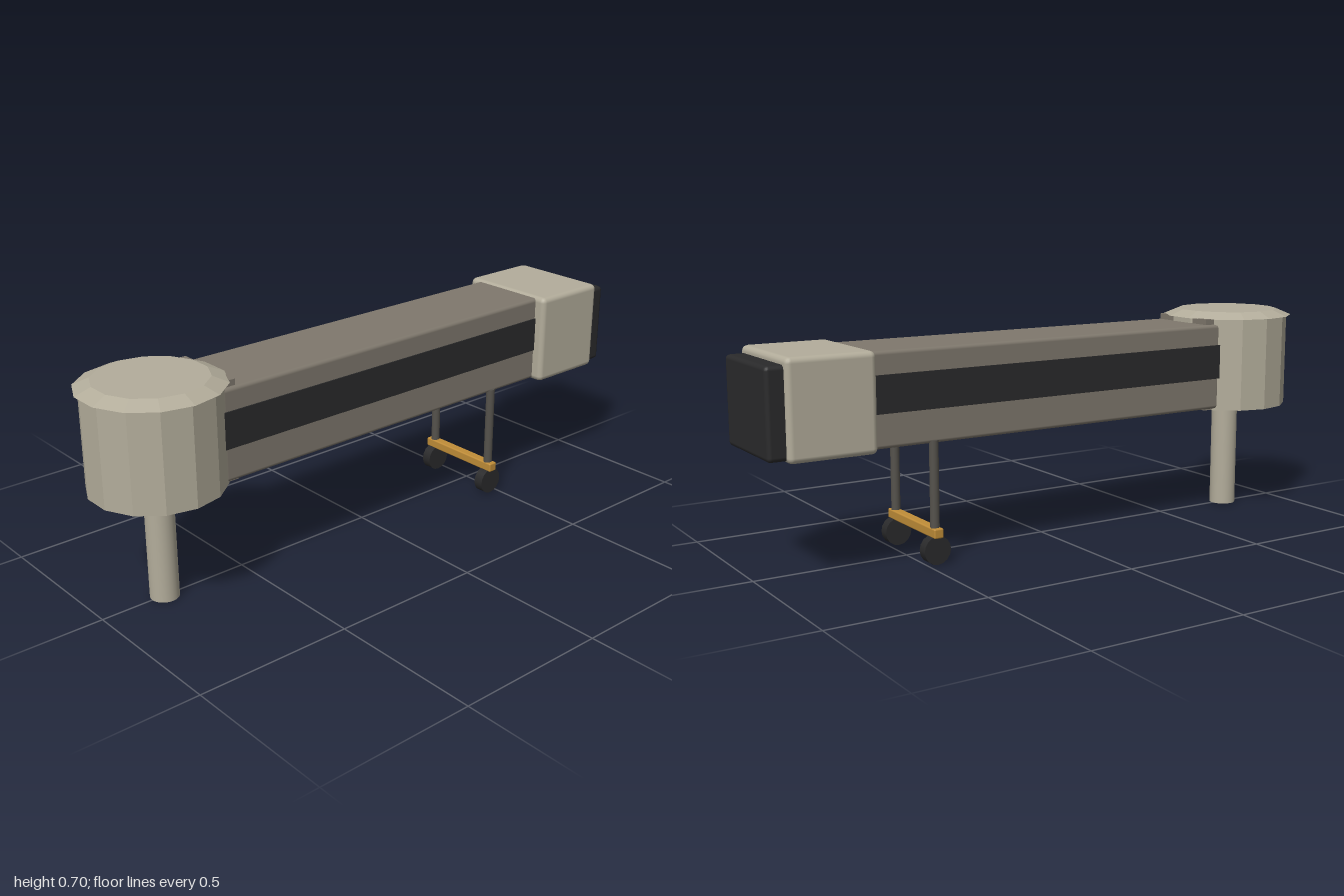
import * as THREE from 'three';
import { RoundedBoxGeometry } from 'three/addons/geometries/RoundedBoxGeometry.js';

const paint = (name, color) => {
  const m = new THREE.MeshStandardMaterial({ color });
  m.name = name;
  return m;
};

export function createModel() {
  const shell = paint('warm light grey', 0xb3ad9b);
  const tunnelGrey = paint('tunnel grey', 0x7f786d);
  const steel = paint('dark steel', 0x55524c);
  const black = paint('black', 0x2a2a2b);
  const amber = paint('amber', 0xc08d38);

  const model = new THREE.Group();
  model.name = 'boardingBridge';

  const add = (name, geometry, material, x, y, z = 0) => {
    const mesh = new THREE.Mesh(geometry, material);
    mesh.name = name;
    mesh.position.set(x, y, z);
    model.add(mesh);
    return mesh;
  };
  // Rounded box given by its extents in x and y and its half width in z
  const block = (name, material, x0, x1, y0, y1, halfZ, radius) =>
    add(name, new RoundedBoxGeometry(x1 - x0, y1 - y0, halfZ * 2, 2, radius),
      material, (x0 + x1) / 2, (y0 + y1) / 2);
  // Faceted drum with one flat normal per side
  const drum = (r0, r1, h) => {
    const g = new THREE.CylinderGeometry(r0, r1, h, 14).toNonIndexed();
    g.computeVertexNormals();
    return g;
  };

  // Rotunda on its column
  const px = -0.785;
  add('column', new THREE.CylinderGeometry(0.045, 0.045, 0.38, 24), shell, px, 0.19);
  add('rotunda', drum(0.208, 0.208, 0.315), shell, px, 0.5265);
  add('rotundaRoof', drum(0.172, 0.222, 0.021), shell, px, 0.6935);
  add('collar', new THREE.BoxGeometry(0.1, 0.313, 0.25), tunnelGrey, -0.635, 0.5275);

  // Tunnel with a window band along both sides
  block('tunnel', tunnelGrey, -0.64, 0.69, 0.375, 0.665, 0.137, 0.012);
  for (const s of [1, -1]) {
    add('windowBand', new THREE.BoxGeometry(1.31, 0.115, 0.006), black, 0.015, 0.538, s * 0.138);
  }

  // Cab and its soft bumper
  block('cab', shell, 0.668, 0.945, 0.37, 0.672, 0.175, 0.018);
  block('bumper', black, 0.93, 1.0, 0.378, 0.65, 0.158, 0.014);

  // Drive legs, cross beam and wheels
  const lx = 0.468;
  block('crossBeam', amber, lx - 0.016, lx + 0.016, 0.084, 0.115, 0.158, 0.005);
  for (const s of [1, -1]) {
    add('leg', new THREE.CylinderGeometry(0.0145, 0.0145, 0.28, 16), steel, lx, 0.245, s * 0.131);
    const wheel = add('wheel', new THREE.CylinderGeometry(0.045, 0.045, 0.034, 16), black, lx, 0.045, s * 0.131);
    wheel.rotation.x = Math.PI / 2;
  }
  return model;
}
